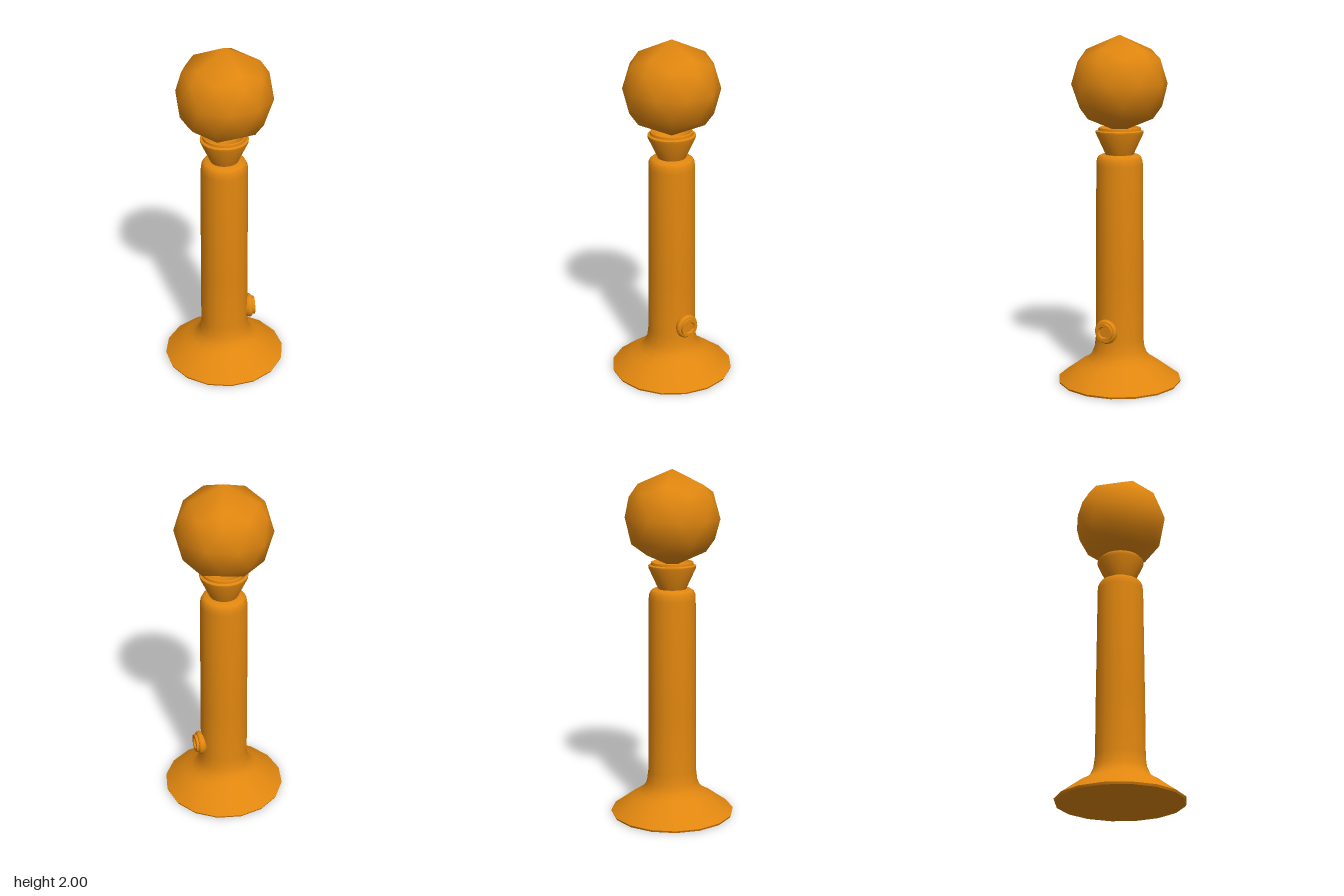
import * as THREE from 'three';
import { toCreasedNormals } from 'three/addons/utils/BufferGeometryUtils.js';

const material = new THREE.MeshStandardMaterial({ color: 0xe0860f });

function addMesh(group, name, geometry) {
  const mesh = new THREE.Mesh(geometry, material);
  mesh.name = name;
  group.add(mesh);
  return mesh;
}

// Turned solid from [radius, height] pairs, listed from the bottom centre up
function turned(profile, segments, crease = 0.62) {
  const points = profile.map(([r, y]) => new THREE.Vector2(r, y));
  return toCreasedNormals(new THREE.LatheGeometry(points, segments), crease);
}

// Icosphere with a vertex at each pole and two staggered rings of five
function icosphere(radius, detail) {
  const vertices = [0, 1, 0];
  for (const side of [1, -1]) {
    for (let i = 0; i < 5; i++) {
      const a = (i * 2 + (side < 0 ? 1 : 0)) * Math.PI / 5;
      vertices.push(2 * Math.cos(a), side, -2 * Math.sin(a));
    }
  }
  vertices.push(0, -1, 0);
  const faces = [];
  for (let i = 0; i < 5; i++) {
    const j = (i + 1) % 5;
    const u0 = 1 + i, u1 = 1 + j, l0 = 6 + i, l1 = 6 + j;
    faces.push(0, u0, u1, u0, l0, u1, l0, l1, u1, l0, 11, l1);
  }
  return new THREE.PolyhedronGeometry(vertices, faces, radius, detail);
}

export function createModel() {
  const model = new THREE.Group();
  model.name = 'ballToppedStand';

  // Flared foot running smoothly into the rounded handle
  addMesh(model, 'handle', turned([
    [0, 0], [0.355, 0], [0.36, 0.012], [0.3, 0.055], [0.24, 0.1], [0.195, 0.125],
    [0.165, 0.155], [0.148, 0.195], [0.14, 0.26], [0.139, 0.6], [0.134, 1.27],
    [0.131, 1.3], [0.122, 1.32], [0.105, 1.33], [0, 1.33],
  ], 16));

  // Conical cup with a stepped rim and hollow seat
  addMesh(model, 'cup', turned([
    [0, 1.325], [0.077, 1.325], [0.135, 1.45], [0.136, 1.463], [0.122, 1.468],
    [0.12, 1.482], [0.113, 1.485], [0.1, 1.475], [0.06, 1.44], [0, 1.43],
  ], 24));

  // Coarse smooth-shaded ball
  addMesh(model, 'ball', icosphere(0.272, 1)).position.y = 1.728;

  // Round push button on the left side, with a recessed centre
  const button = addMesh(model, 'button', turned([
    [0, 0], [0.055, 0], [0.068, 0.02], [0.071, 0.03], [0.069, 0.04], [0.062, 0.047],
    [0.054, 0.048], [0.054, 0.063], [0.035, 0.063], [0.03, 0.052], [0, 0.052],
  ], 20));
  button.rotation.z = -Math.PI / 2;
  button.position.set(0.119, 0.325, 0);

  return model;
}
